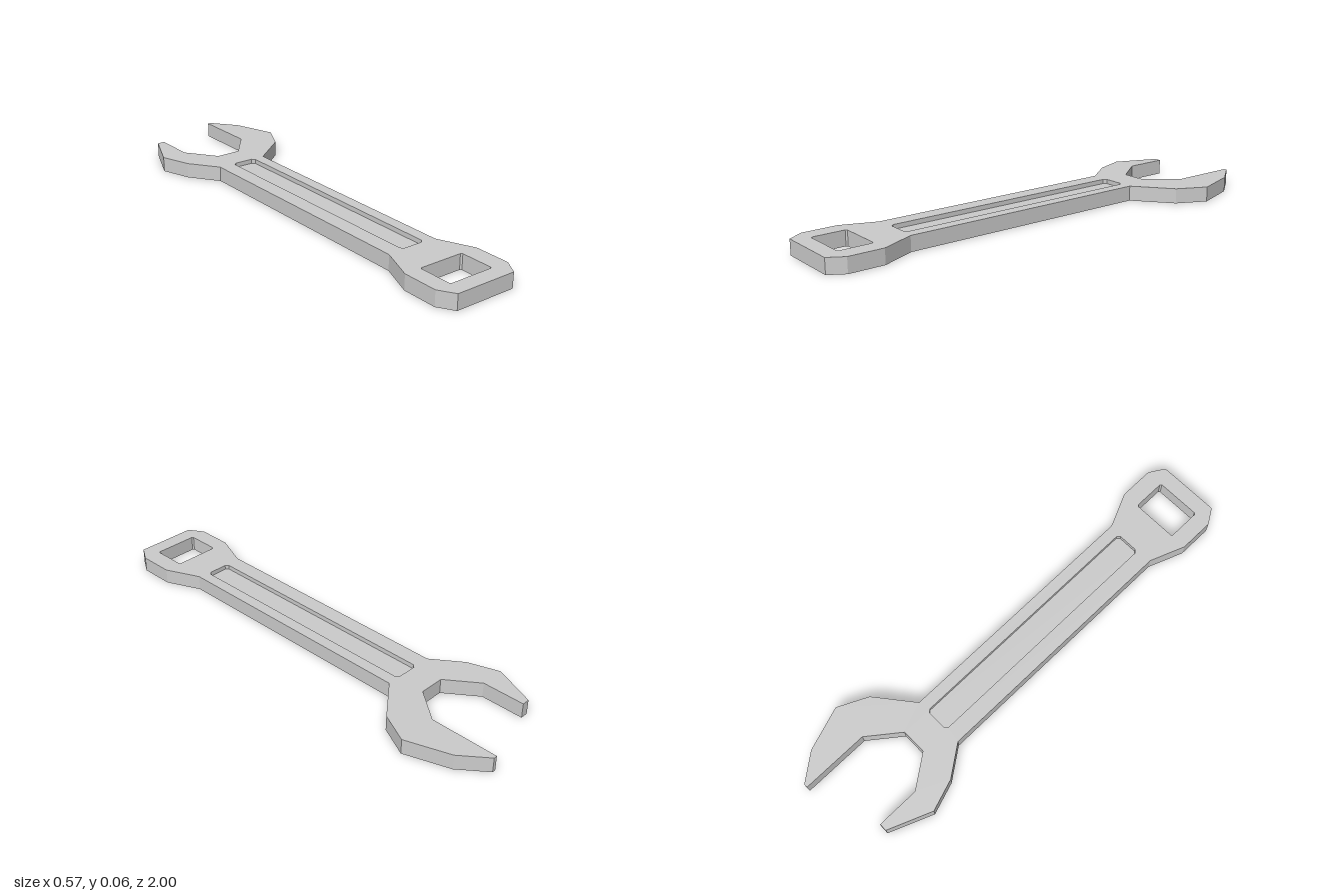
import * as THREE from 'three';

const THICKNESS = 0.064;
const FLOOR = 0.045; // height of the recess floor

// Plan points are [x, z]; shapes use (x, -z) and are laid flat afterwards.
const plan = (points) => points.map(([x, z]) => new THREE.Vector2(x, -z));

// Rectangle with small chamfered corners.
const chamferedRect = (x0, x1, z0, z1, c) => plan([
  [x0 + c, z0], [x1 - c, z0], [x1, z0 + c], [x1, z1 - c],
  [x1 - c, z1], [x0 + c, z1], [x0, z1 - c], [x0, z0 + c],
]);

// Flat horizontal face at height y, with optional holes.
function face(outline, holes, y, down = false) {
  const shape = new THREE.Shape(outline);
  shape.holes = holes.map((h) => new THREE.Path(h));
  const geometry = new THREE.ShapeGeometry(shape);
  geometry.rotateX(-Math.PI / 2).translate(0, y, 0);
  if (down) geometry.index.array.reverse();
  const flat = geometry.toNonIndexed();
  flat.computeVertexNormals();
  return flat;
}

// Flat-shaded vertical walls along a closed loop, facing out or into the loop.
function walls(loop, y0, y1, inward = false) {
  const pts = THREE.ShapeUtils.isClockWise(loop) === inward ? loop : [...loop].reverse();
  const positions = [];
  pts.forEach((a, i) => {
    const b = pts[(i + 1) % pts.length];
    const corner = (p, y) => [p.x, y, -p.y];
    positions.push(
      ...corner(a, y0), ...corner(b, y0), ...corner(b, y1),
      ...corner(a, y0), ...corner(b, y1), ...corner(a, y1),
    );
  });
  const geometry = new THREE.BufferGeometry();
  geometry.setAttribute('position', new THREE.Float32BufferAttribute(positions, 3));
  geometry.computeVertexNormals();
  return geometry;
}

export function createModel() {
  const group = new THREE.Group();
  group.name = 'wrench';
  const material = new THREE.MeshStandardMaterial({ color: 0xcccccc, flatShading: true });
  const add = (name, geometry) => {
    const mesh = new THREE.Mesh(geometry, material);
    mesh.name = name;
    group.add(mesh);
  };

  const outline = plan([
    // longer jaw
    [0.123, -1], [0.138, -1], [0.223, -0.892], [0.286, -0.71], [0.225, -0.585],
    // shank and box end
    [0.07, -0.462], [0.07, 0.638], [0.135, 0.785], [0.135, 0.935], [0.095, 1],
    [-0.17, 1], [-0.21, 0.935], [-0.21, 0.785], [-0.153, 0.638], [-0.153, -0.462],
    // shorter jaw
    [-0.242, -0.585], [-0.286, -0.715], [-0.212, -0.895], [-0.18, -0.895],
    // open mouth
    [-0.18, -0.715], [-0.085, -0.585], [0.021, -0.585], [0.123, -0.715],
  ]);
  const boxHole = chamferedRect(-0.139, 0.059, 0.785, 0.932, 0.006);
  const recess = chamferedRect(-0.085, 0.021, -0.462, 0.63, 0.012);

  add('topFace', face(outline, [boxHole, recess], THICKNESS));
  add('bottomFace', face(outline, [boxHole], 0, true));
  add('outerEdge', walls(outline, 0, THICKNESS));
  add('boxEndHole', walls(boxHole, 0, THICKNESS, true));
  add('handleRecessWalls', walls(recess, FLOOR, THICKNESS, true));
  add('handleRecessFloor', face(recess, [], FLOOR));
  return group;
}
